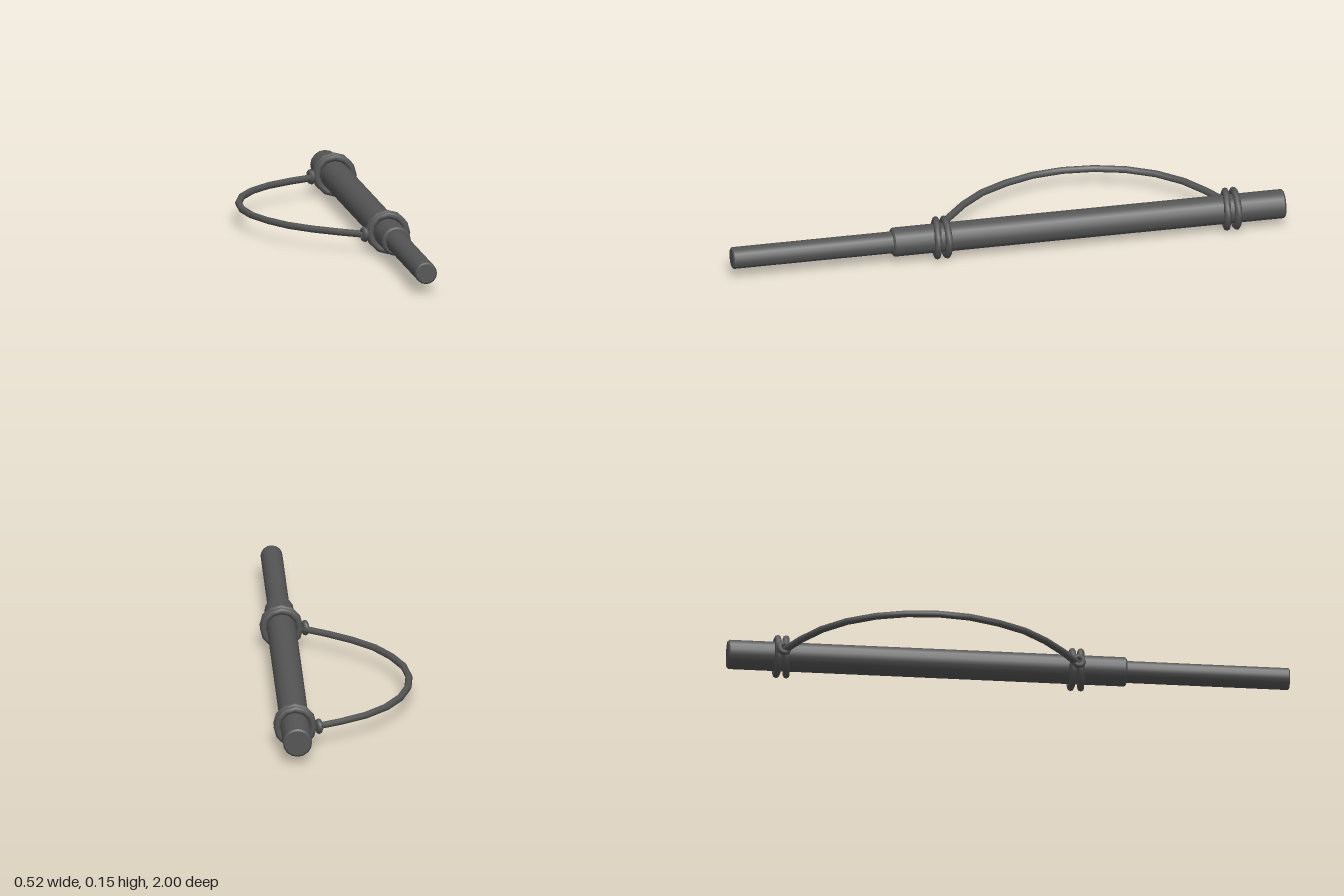
import * as THREE from 'three';

const AXIS_X = 0.18, AXIS_Y = 0.077;

export function createModel() {
  const model = new THREE.Group();
  const material = new THREE.MeshStandardMaterial({ color: 0x555555 });

  function add(name, geometry, parent = model) {
    const mesh = new THREE.Mesh(geometry, material);
    mesh.name = name;
    parent.add(mesh);
    return mesh;
  }

  // Solid rod along z with slightly bevelled ends
  function rod(name, radius, z0, z1, bevel) {
    const profile = [
      [0, z0], [radius - bevel, z0], [radius - bevel, z0], [radius, z0 + bevel], [radius, z0 + bevel],
      [radius, z1 - bevel], [radius, z1 - bevel], [radius - bevel, z1], [radius - bevel, z1], [0, z1],
    ].map(([r, z]) => new THREE.Vector2(r, z));
    const mesh = add(name, new THREE.LatheGeometry(profile, 16).rotateX(Math.PI / 2));
    mesh.position.set(AXIS_X, AXIS_Y, 0);
  }
  rod('barrel', 0.052, -1, 0.42, 0.006);
  rod('innerRod', 0.039, 0.38, 1, 0.005);

  // Two cord loops and a small knot, tied at each end of the strap
  for (const [name, z] of [['rearBinding', -0.823], ['frontBinding', 0.225]]) {
    const binding = new THREE.Group();
    binding.name = name;
    binding.position.set(AXIS_X, AXIS_Y, z);
    model.add(binding);

    const loop = new THREE.TorusGeometry(0.0645, 0.0125, 8, 12);
    add('loop', loop, binding);
    const tiltedLoop = add('tiltedLoop', loop, binding);
    tiltedLoop.position.z = 0.033;
    tiltedLoop.rotation.y = -0.1;

    const knot = add('knot', new THREE.TorusGeometry(0.017, 0.011, 8, 10), binding);
    knot.position.set(-0.084, -0.005, 0.016);
    knot.rotation.y = Math.PI / 2 + 0.2;
  }

  // Bowed cord strap
  const strapPoints = [
    [0.115, -0.808], [0, -0.745], [-0.1, -0.67], [-0.177, -0.57], [-0.228, -0.45], [-0.247, -0.32],
    [-0.238, -0.2], [-0.195, -0.075], [-0.128, 0.04], [-0.015, 0.15], [0.115, 0.243],
  ].map(([x, z]) => new THREE.Vector3(x, 0.07, z));
  const strapCurve = new THREE.CatmullRomCurve3(strapPoints);
  add('strap', new THREE.TubeGeometry(strapCurve, 12, 0.0128, 8, false));

  return model;
}
